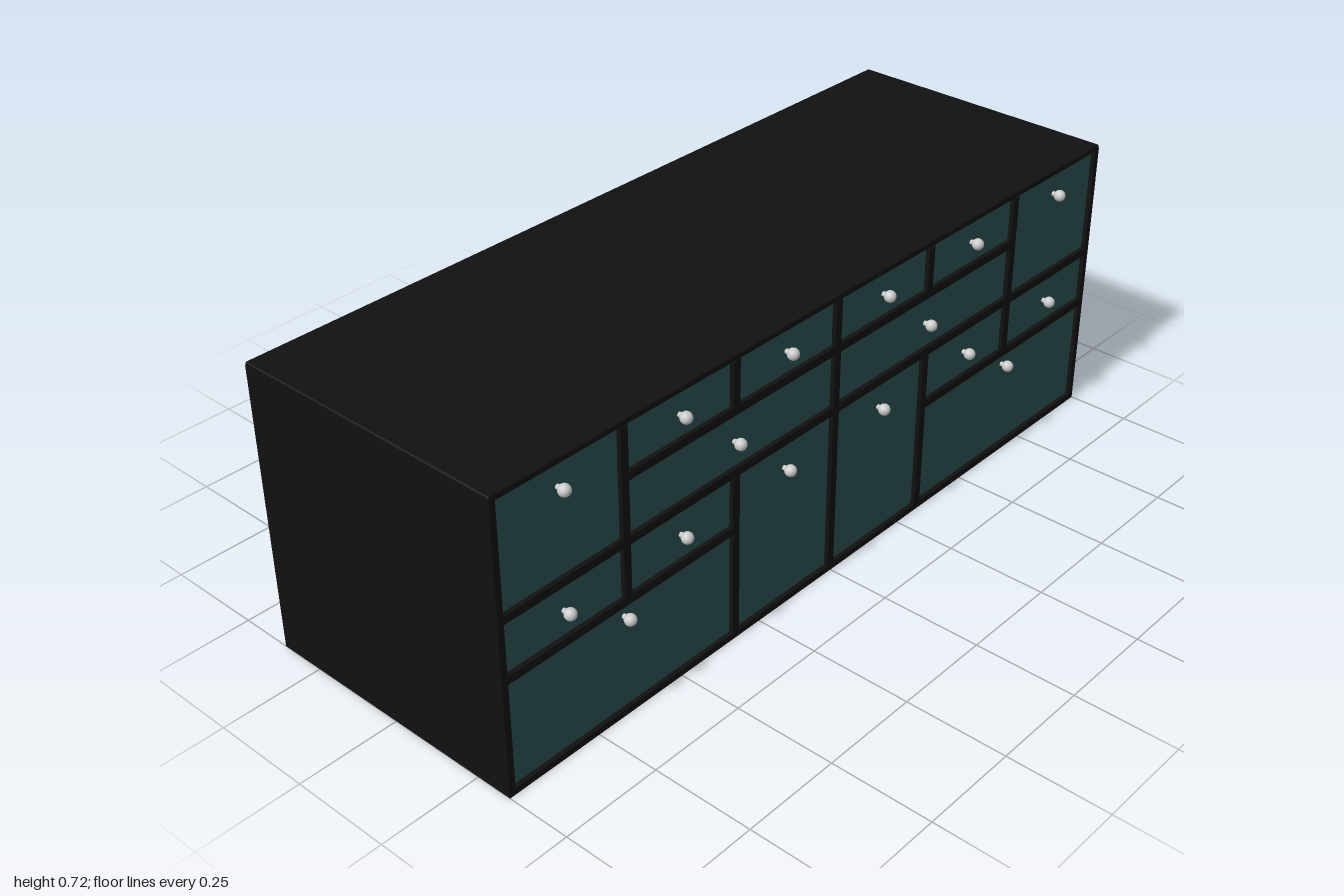
import * as THREE from 'three';
import { RoundedBoxGeometry } from 'three/addons/geometries/RoundedBoxGeometry.js';

const H = 0.72, BACK = -0.366, FRONT = 0.342, WALL = 0.016, RAIL = 0.02;
const FACE = 0.333; // front of the recessed drawer fronts

export function createModel() {
  const model = new THREE.Group();
  const black = new THREE.MeshStandardMaterial({ color: 0x111111 });
  const teal = new THREE.MeshStandardMaterial({ color: 0x2a5052 });
  const grey = new THREE.MeshStandardMaterial({ color: 0xcccccc });

  function add(parent, name, geometry, material, x, y, z) {
    const mesh = new THREE.Mesh(geometry, material);
    mesh.name = name;
    mesh.position.set(x, y, z);
    parent.add(mesh);
  }
  // Black board between two corners
  function board(name, x0, x1, y0, y1, z0 = BACK, z1 = FRONT) {
    add(model, name, new THREE.BoxGeometry(x1 - x0, y1 - y0, z1 - z0), black,
      (x0 + x1) / 2, (y0 + y1) / 2, (z0 + z1) / 2);
  }

  // Carcass
  add(model, 'topBoard', new RoundedBoxGeometry(2, WALL, FRONT - BACK, 2, 0.004), black,
    0, H - WALL / 2, (FRONT + BACK) / 2);
  board('bottomBoard', -1 + WALL, 1 - WALL, 0, WALL);
  board('backBoard', -1 + WALL, 1 - WALL, WALL, H - WALL, BACK, BACK + 0.016);
  board('rightSide', -1, -1 + WALL, 0, H - WALL / 2);
  board('leftSide', 1 - WALL, 1, 0, H - WALL / 2);

  // Divider centre lines
  const X1 = 0.327, X2 = 0.653, X3 = 1 - WALL + RAIL / 2;
  const Y0 = WALL - RAIL / 2, Y1 = 0.289, Y2 = 0.433, Y3 = 0.585, Y4 = H - WALL + RAIL / 2;
  const h = RAIL / 2;
  const inner = 0.3;

  // Horizontal rails and uprights
  board('middleRail', -1 + WALL, 1 - WALL, Y2 - h, Y2 + h, inner);
  board('upperRail', -X2, X2, Y3 - h, Y3 + h, inner);
  board('centreUpright', -h, h, WALL, H - WALL, inner);
  for (const s of [-1, 1]) {
    const upright = (name, x, y0, y1) => board(name, s * x - h, s * x + h, y0, y1, inner);
    upright('lowerUpright', X1, WALL, Y2);
    upright('topUpright', X1, Y3, H - WALL);
    upright('outerUpright', X2, Y1, H - WALL);
    const ends = [s * X1, s * (1 - WALL)].sort((a, b) => a - b);
    board('lowerRail', ends[0], ends[1], Y1 - h, Y1 + h, inner);
  }

  // Drawer and door fronts: name, inner x, outer x, bottom, top, knob height
  const fronts = [
    ['topInnerDrawer', 0, X1, Y3, Y4, 0.65],
    ['topMiddleDrawer', X1, X2, Y3, Y4, 0.65],
    ['cornerDoor', X2, X3, Y2, Y4, 0.65],
    ['wideDrawer', 0, X2, Y2, Y3, 0.507],
    ['centreDoor', 0, X1, Y0, Y2, 0.36],
    ['smallInnerDrawer', X1, X2, Y1, Y2, 0.36],
    ['smallOuterDrawer', X2, X3, Y1, Y2, 0.36],
    ['largeDrawer', X1, X3, Y0, Y1, 0.25],
  ];
  const knob = new THREE.SphereGeometry(0.014, 20, 14);
  const stem = new THREE.CylinderGeometry(0.006, 0.006, 0.016, 12).rotateX(Math.PI / 2);
  for (const [name, x0, x1, y0, y1, ky] of fronts) {
    const panel = new RoundedBoxGeometry(x1 - x0 - RAIL, y1 - y0 - RAIL, 0.03, 2, 0.003);
    for (const s of [-1, 1]) {
      const unit = new THREE.Group();
      unit.name = (s > 0 ? 'left ' : 'right ') + name;
      const x = s * (x0 + x1) / 2;
      add(unit, 'panel', panel, teal, x, (y0 + y1) / 2, FACE - 0.015);
      add(unit, 'knobStem', stem, grey, x, ky, FACE + 0.006);
      add(unit, 'knob', knob, grey, x, ky, 0.352);
      model.add(unit);
    }
  }
  return model;
}
